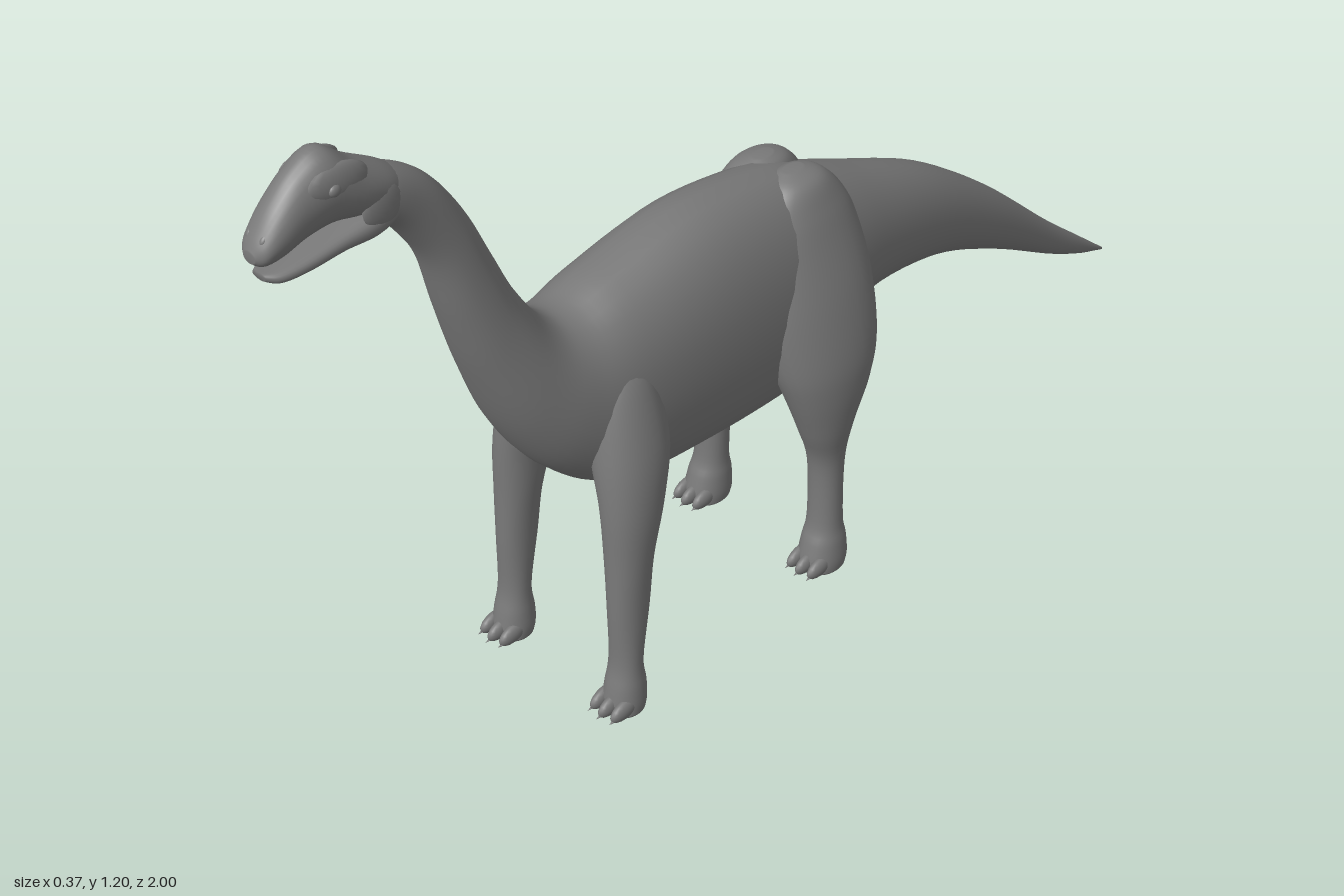
import * as THREE from 'three';

const material = new THREE.MeshStandardMaterial({ color: 0x787878 });

// Catmull-Rom interpolation between rows of section numbers
function refine(rows, steps) {
  const out = [];
  const cr = (a, b, c, d, t) =>
    0.5 * (2 * b + (c - a) * t + (2 * a - 5 * b + 4 * c - d) * t * t + (3 * b - a - 3 * c + d) * t * t * t);
  const n = rows.length - 1;
  for (let i = 0; i < n; i++) {
    for (let k = 0; k < steps; k++) {
      out.push(rows[i].map((v, j) =>
        cr(rows[Math.max(i - 1, 0)][j], v, rows[i + 1][j], rows[Math.min(i + 2, n)][j], k / steps)));
    }
  }
  out.push(rows[n]);
  return out;
}

// Skin through rounded cross-sections; each is { c: centre, u: half axis, w: half width in x }
function loft(name, sections, power, seg = 28) {
  const pos = [], idx = [];
  const bend = (v) => Math.sign(v) * Math.pow(Math.abs(v), power);
  for (const { c, u, w } of sections) {
    for (let j = 0; j < seg; j++) {
      const a = (j / seg) * Math.PI * 2, p = bend(Math.cos(a)), q = bend(Math.sin(a));
      pos.push(c[0] + w * p, c[1] + u[0] * q, c[2] + u[1] * q);
    }
  }
  const n = sections.length;
  for (let i = 0; i < n - 1; i++) {
    for (let j = 0; j < seg; j++) {
      const k = (j + 1) % seg, a = i * seg + j, b = i * seg + k;
      idx.push(a, b, b + seg, a, b + seg, a + seg);
    }
  }
  // End caps
  const first = pos.length / 3;
  pos.push(...sections[0].c, ...sections[n - 1].c);
  for (let j = 0; j < seg; j++) {
    const k = (j + 1) % seg, e = (n - 1) * seg;
    idx.push(first, k, j, first + 1, e + j, e + k);
  }
  const g = new THREE.BufferGeometry();
  g.setAttribute('position', new THREE.Float32BufferAttribute(pos, 3));
  g.setIndex(idx);
  g.computeVertexNormals();
  const mesh = new THREE.Mesh(g, material);
  mesh.name = name;
  return mesh;
}

// Rows: top z, top y, bottom z, bottom y, half width (running from back to front)
const profile = (name, rows, power) => loft(name, refine(rows, 6).map(([zt, yt, zb, yb, w]) => ({
  c: [0, (yt + yb) / 2, (zt + zb) / 2], u: [(yt - yb) / 2, (zt - zb) / 2], w,
})), power);

// Rows: y, front z, back z, inner x, outer x (running downwards)
const limb = (name, rows, side) => loft(name, refine(rows, 5).map(([y, zf, zb, xi, xo]) => ({
  c: [side * (xi + xo) / 2, y, (zf + zb) / 2], u: [0, (zf - zb) / 2], w: (xo - xi) / 2,
})), 0.95);

function ellipsoid(name, r, p, rx = 0, rz = 0) {
  const m = new THREE.Mesh(new THREE.SphereGeometry(1, 16, 12), material);
  m.name = name;
  m.scale.set(...r);
  m.position.set(...p);
  m.rotation.set(rx, 0, rz);
  return m;
}

const BODY = [
  [-1.0, 0.094, -1.0, 0.088, 0.002], [-0.97, 0.118, -0.972, 0.1, 0.008],
  [-0.9, 0.175, -0.91, 0.125, 0.016], [-0.79, 0.265, -0.81, 0.175, 0.026],
  [-0.59, 0.44, -0.61, 0.29, 0.051], [-0.4, 0.575, -0.41, 0.38, 0.072],
  [-0.2, 0.67, -0.2, 0.41, 0.092], [-0.1, 0.715, -0.1, 0.345, 0.105],
  [0, 0.755, 0, 0.315, 0.12], [0.2, 0.78, 0.2, 0.325, 0.128],
  [0.38, 0.75, 0.4, 0.36, 0.125], [0.47, 0.727, 0.52, 0.445, 0.108],
  [0.525, 0.752, 0.6, 0.56, 0.088], [0.575, 0.83, 0.655, 0.7, 0.067],
  [0.61, 0.91, 0.69, 0.82, 0.055], [0.65, 1.0, 0.717, 0.93, 0.046],
  [0.705, 1.08, 0.752, 0.995, 0.041], [0.77, 1.125, 0.79, 1.04, 0.039],
  [0.82, 1.135, 0.825, 1.05, 0.034],
];
const SKULL = [
  [0.75, 1.11, 0.76, 1.065, 0.028], [0.78, 1.134, 0.79, 1.065, 0.039],
  [0.83, 1.165, 0.83, 1.07, 0.044], [0.875, 1.199, 0.875, 1.079, 0.042],
  [0.92, 1.182, 0.92, 1.075, 0.037], [0.96, 1.147, 0.96, 1.066, 0.034],
  [0.988, 1.112, 0.988, 1.066, 0.027], [1.0, 1.092, 1.0, 1.074, 0.012],
];
const LOWER_JAW = [
  [0.76, 1.09, 0.76, 1.045, 0.034], [0.82, 1.079, 0.81, 1.034, 0.041],
  [0.87, 1.07, 0.87, 1.036, 0.037], [0.93, 1.061, 0.93, 1.033, 0.034],
  [0.97, 1.056, 0.97, 1.034, 0.027], [0.99, 1.055, 0.988, 1.042, 0.013],
];
const FRONT_LEG = [
  [0.66, 0.44, 0.41, 0.04, 0.075], [0.61, 0.475, 0.37, 0.02, 0.122],
  [0.5, 0.497, 0.36, 0.045, 0.156], [0.4, 0.505, 0.39, 0.078, 0.167],
  [0.3, 0.507, 0.422, 0.092, 0.165], [0.2, 0.51, 0.437, 0.1, 0.162],
  [0.1, 0.511, 0.458, 0.103, 0.162], [0.05, 0.522, 0.455, 0.099, 0.167],
  [0.02, 0.528, 0.455, 0.097, 0.169], [0, 0.528, 0.46, 0.099, 0.168],
];
const HIND_LEG = [
  [0.755, -0.005, -0.045, 0.02, 0.045], [0.74, 0.03, -0.08, 0, 0.078],
  [0.7, 0.07, -0.115, -0.01, 0.1], [0.65, 0.095, -0.135, -0.01, 0.12],
  [0.55, 0.112, -0.145, 0, 0.156], [0.45, 0.1, -0.128, 0.04, 0.18],
  [0.38, 0.08, -0.1, 0.07, 0.184], [0.3, 0.053, -0.055, 0.09, 0.176],
  [0.22, 0.028, -0.037, 0.1, 0.164], [0.1, 0.03, -0.03, 0.104, 0.167],
  [0.055, 0.044, -0.036, 0.1, 0.174], [0.02, 0.054, -0.038, 0.098, 0.178],
  [0, 0.054, -0.033, 0.1, 0.177],
];

export function createModel() {
  const model = new THREE.Group();
  model.name = 'longNeckedDinosaur';
  model.add(profile('bodyNeckAndTail', BODY, 0.92));

  // Head: peaked skull and a slightly open jaw
  const head = new THREE.Group();
  head.name = 'head';
  head.add(profile('skull', SKULL, 1), profile('lowerJaw', LOWER_JAW, 0.85));
  model.add(head);

  for (const side of [1, -1]) {
    const label = side > 0 ? 'left' : 'right';
    // Brow ridge, eye, cheek and nostril
    head.add(
      ellipsoid(label + 'Brow', [0.011, 0.026, 0.05], [side * 0.031, 1.153, 0.868], -0.1, side * 0.15),
      ellipsoid(label + 'Eye', [0.006, 0.009, 0.01], [side * 0.0405, 1.148, 0.882]),
      ellipsoid(label + 'Cheek', [0.01, 0.034, 0.034], [side * 0.0335, 1.085, 0.803]),
      ellipsoid(label + 'Nostril', [0.006, 0.006, 0.01], [side * 0.014, 1.108, 0.982], 0.8),
    );
    // Legs, each with three forward toes
    for (const [kind, rows, toeX, toeZ] of [['FrontLeg', FRONT_LEG, 0.133, 0.52], ['HindLeg', HIND_LEG, 0.138, 0.046]]) {
      const leg = new THREE.Group();
      leg.name = label + kind;
      leg.add(limb('limb', rows, side));
      for (const k of [-1, 0, 1]) {
        const z = toeZ - Math.abs(k) * 0.005;
        leg.add(ellipsoid('toe', [0.0115, 0.017, 0.032], [side * toeX + k * 0.0235, 0.018, z], 0.15));
        const claw = new THREE.Mesh(new THREE.ConeGeometry(0.009, 0.036, 10), material);
        claw.name = 'claw';
        claw.position.set(side * toeX + k * 0.0245, 0.011, z + 0.02);
        claw.rotation.x = Math.PI / 2 + 0.1;
        leg.add(claw);
      }
      model.add(leg);
    }
  }
  return model;
}
